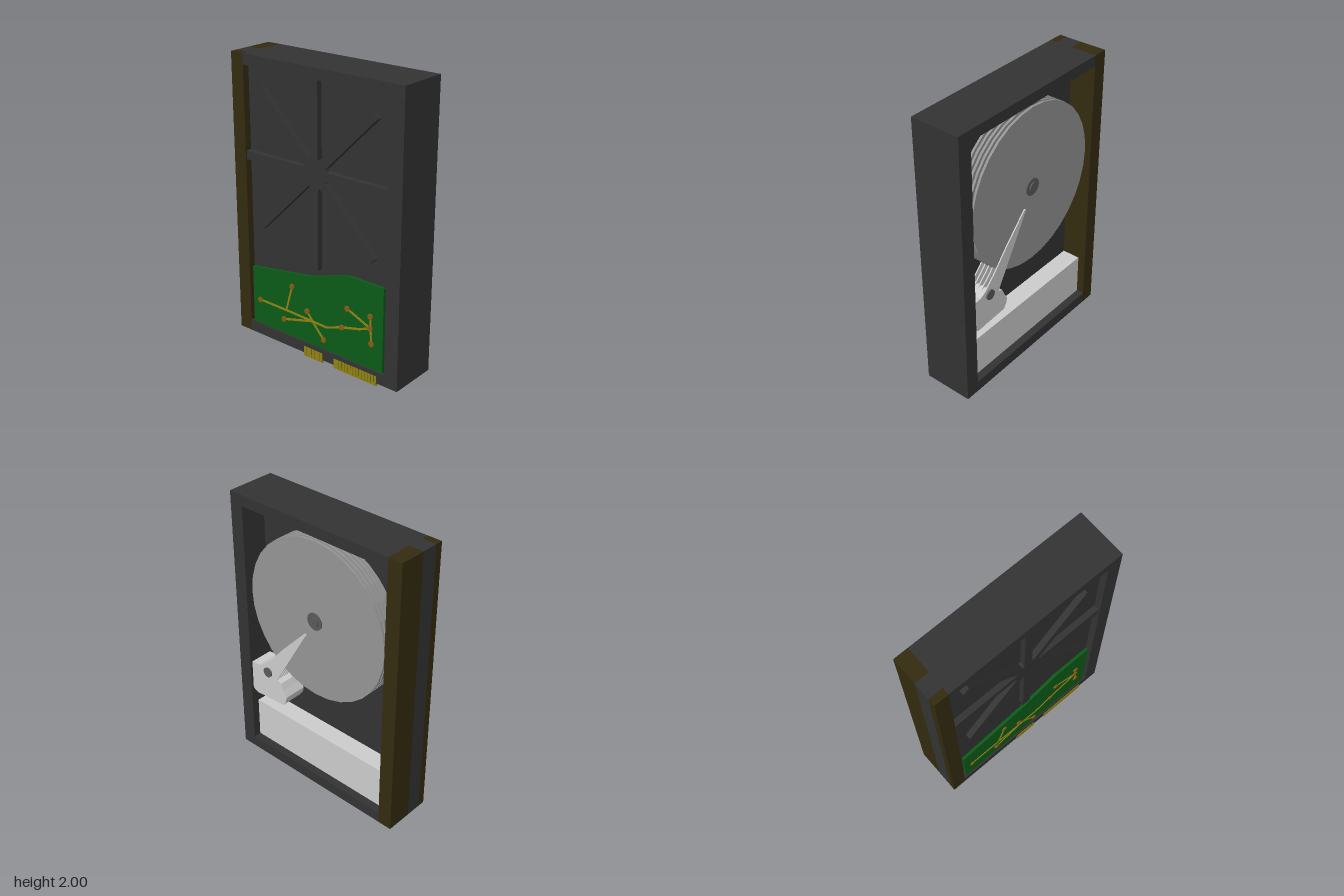
import * as THREE from 'three';

const mat = (color) => new THREE.MeshStandardMaterial({ color, flatShading: true });

export function createModel() {
  const root = new THREE.Group();
  const dark = mat(0x333333), brown = mat(0x332b10), grey = mat(0xcccccc), steel = mat(0x949494);
  const hubGrey = mat(0x5a5a5a), green = mat(0x0b5a17), gold = mat(0x8f8212), copper = mat(0x8a5a14);

  const add = (name, geo, material, parent = root) => {
    const mesh = new THREE.Mesh(geo, material);
    mesh.name = name;
    parent.add(mesh);
    return mesh;
  };
  const group = (name) => {
    const g = new THREE.Group();
    g.name = name;
    root.add(g);
    return g;
  };
  // box given by its limits on each axis
  const box = (name, x0, x1, y0, y1, z0, z1, material, parent) => {
    const m = add(name, new THREE.BoxGeometry(x1 - x0, y1 - y0, z1 - z0), material, parent);
    m.position.set((x0 + x1) / 2, (y0 + y1) / 2, (z0 + z1) / 2);
    return m;
  };
  // disc or pin lying along x
  const disc = (name, x0, x1, y, z, r, sides, material, parent) => {
    const m = add(name, new THREE.CylinderGeometry(r, r, x1 - x0, sides).rotateZ(Math.PI / 2), material, parent);
    m.position.set((x0 + x1) / 2, y, z);
    return m;
  };
  // outline of [z, y] points, extruded along x
  const slab = (name, x0, x1, pts, material, parent) => {
    const shape = new THREE.Shape(pts.map(([z, y]) => new THREE.Vector2(-z, y)));
    const geo = new THREE.ExtrudeGeometry(shape, { depth: x1 - x0, bevelEnabled: false });
    const m = add(name, geo.rotateY(Math.PI / 2), material, parent);
    m.position.x = x0;
    return m;
  };

  // casing: a middle plate with a raised rim on both sides
  const casing = group('casing');
  box('middlePlate', -0.125, -0.01, 0.02, 2, -0.685, 0.685, dark, casing);
  for (const [side, x0, x1] of [['inner', -0.01, 0.175], ['outer', -0.175, -0.125]]) {
    box(side + 'TopRim', x0, x1, 1.925, 2, -0.585, 0.685, dark, casing);
    box(side + 'BottomRim', x0, x1, 0.02, 0.1, -0.585, 0.685, dark, casing);
    box(side + 'FrontRim', x0, x1, 0.1, 1.925, 0.585, 0.685, dark, casing);
    box(side + 'BackRim', x0, x1, 0.02, 2, -0.685, -0.583, brown, casing);
  }

  // platter stack on its spindle
  const cy = 1.32;
  const platters = group('platters');
  for (let i = 0; i < 5; i++) {
    const x = 0.01 + i * 0.03;
    disc('platter', x, x + 0.016, cy, 0, 0.56, 32, steel, platters);
  }
  disc('spindle', -0.01, 0.153, cy, 0, 0.06, 24, hubGrey, platters);
  disc('spindleCap', 0.15, 0.162, cy, 0, 0.035, 16, hubGrey, platters);

  // actuator: thick body, thin arms reaching between the platters
  const actuator = group('actuator');
  slab('actuatorBody', -0.01, 0.158, [
    [0.585, 0.75], [0.52, 0.755], [0.49, 0.77], [0.45, 0.79], [0.40, 0.77], [0.35, 0.71], [0.31, 0.695],
    [0.29, 0.65], [0.262, 0.6], [0.27, 0.56], [0.295, 0.525], [0.48, 0.515], [0.54, 0.508], [0.585, 0.53],
  ], grey, actuator);
  for (let i = 0; i < 5; i++) {
    const x = 0.03 + i * 0.03;
    slab('arm', x, x + 0.008, [
      [0.49, 0.765], [0.39, 0.86], [0.27, 1.0], [0.083, 1.198], [0.07, 1.19], [0.345, 0.71], [0.42, 0.68],
    ], grey, actuator);
  }
  disc('pivot', 0.1, 0.168, 0.735, 0.43, 0.036, 20, hubGrey, actuator);

  // plain block below the actuator
  box('lowerBlock', -0.01, 0.12, 0.1, 0.4, -0.583, 0.585, grey);

  // star of stiffening ribs on the outer side
  const ribs = group('ribs');
  box('verticalRib', -0.165, -0.12, 0.66, 1.925, -0.03, 0.03, dark, ribs);
  box('horizontalRib', -0.165, -0.12, cy - 0.03, cy + 0.03, -0.584, 0.586, dark, ribs);
  for (const s of [-1, 1]) {
    const rib = box('diagonalRib', -0.165, -0.12, cy - 0.03, cy + 0.03, -0.66, 0.66, dark, ribs);
    rib.rotation.x = s * Math.PI / 4;
  }
  disc('ribHub', -0.165, -0.12, cy, 0, 0.1, 16, dark, ribs);

  // circuit board with traces and solder points
  const board = group('circuitBoard');
  slab('boardPlate', -0.165, -0.145, [
    [-0.56, 0.1], [0.56, 0.1], [0.56, 0.7], [0.27, 0.7], [-0.04, 0.6], [-0.56, 0.52],
  ], green, board);
  const traces = [
    [[-0.495, 0.285], [-0.253, 0.283], [-0.02, 0.278], [0.1, 0.274], [0.23, 0.32], [0.373, 0.357], [0.461, 0.393]],
    [[-0.253, 0.283], [-0.198, 0.478]],
    [[-0.275, 0.209], [-0.02, 0.278]],
    [[-0.066, 0.338], [-0.02, 0.278], [0.077, 0.172]],
    [[0.275, 0.47], [0.461, 0.393]],
    [[0.461, 0.476], [0.465, 0.393], [0.472, 0.285]],
  ];
  for (const path of traces) {
    for (let i = 1; i < path.length; i++) {
      const [z0, y0] = path[i - 1], [z1, y1] = path[i];
      const len = Math.hypot(z1 - z0, y1 - y0);
      const t = add('trace', new THREE.BoxGeometry(0.008, 0.014, len + 0.01), gold, board);
      t.position.set(-0.166, (y0 + y1) / 2, (z0 + z1) / 2);
      t.rotation.x = -Math.atan2(y1 - y0, z1 - z0);
    }
  }
  for (const [z, y] of [[-0.495, 0.285], [-0.198, 0.478], [-0.275, 0.209], [-0.066, 0.338], [0.077, 0.172],
    [0.23, 0.32], [0.275, 0.47], [0.461, 0.393], [0.461, 0.476], [0.472, 0.285]]) {
    disc('solderPoint', -0.174, -0.16, y, z, 0.02, 10, copper, board);
  }

  // two rows of contact pins on the bottom edge
  const pins = group('connectorPins');
  for (const [start, count] of [[0.17, 15], [-0.09, 7]]) {
    for (let i = 0; i < count; i++) {
      const z = start + i * 0.0237;
      box('pin', -0.178, -0.163, 0, 0.07, z, z + 0.02, gold, pins);
    }
  }
  return root;
}
